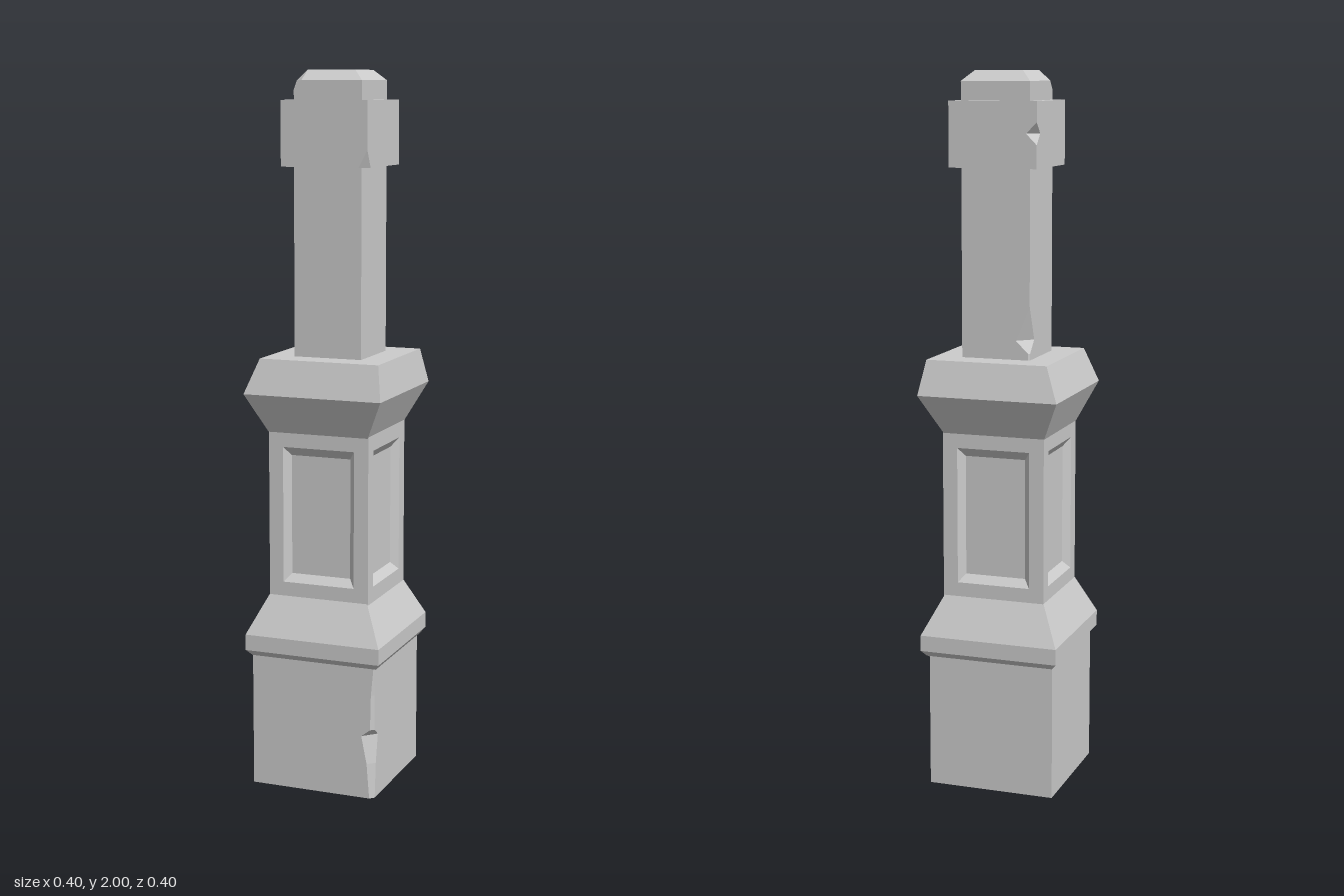
import * as THREE from 'three';

const material = new THREE.MeshStandardMaterial({ color: 0xcccccc, flatShading: true });

// Skin a list of equal-length point loops, skipping collapsed triangles
function skin(name, rings, capStart, capEnd) {
  const pos = [];
  const tri = (a, b, c) => {
    const n = b.clone().sub(a).cross(c.clone().sub(a));
    if (n.length() > 1e-9) for (const p of [a, b, c]) pos.push(p.x, p.y, p.z);
  };
  const count = rings[0].length;
  for (let r = 0; r < rings.length - 1; r++) {
    for (let i = 0; i < count; i++) {
      const j = (i + 1) % count, lo = rings[r], hi = rings[r + 1];
      tri(lo[i], lo[j], hi[j]);
      tri(lo[i], hi[j], hi[i]);
    }
  }
  const first = rings[0], last = rings[rings.length - 1];
  for (let i = 1; i < count - 1; i++) {
    if (capStart) tri(first[0], first[i + 1], first[i]);
    if (capEnd) tri(last[0], last[i], last[i + 1]);
  }
  const geometry = new THREE.BufferGeometry();
  geometry.setAttribute('position', new THREE.Float32BufferAttribute(pos, 3));
  geometry.computeVertexNormals();
  const mesh = new THREE.Mesh(geometry, material);
  mesh.name = name;
  return mesh;
}

// Rectangular level; one corner may be chipped by "cut"
// corners: 0 = +x+z, 1 = +x-z, 2 = -x-z, 3 = -x+z
function level(y, x0, x1, z0, z1, corner = 0, cut = 0) {
  const corners = [[x1, z1], [x1, z0], [x0, z0], [x0, z1]];
  const ring = [];
  corners.forEach(([x, z], i) => {
    const c = i === corner ? cut : 0;
    const alongX = new THREE.Vector3(x - Math.sign(x) * c, y, z);
    const alongZ = new THREE.Vector3(x, y, z - Math.sign(z) * c);
    ring.push(...(i % 2 ? [alongZ, alongX] : [alongX, alongZ]));
  });
  return ring;
}

// Upright rectangle facing +z
const frame = (hw, y0, y1, z) =>
  [[-hw, y0], [hw, y0], [hw, y1], [-hw, y1]].map(([x, y]) => new THREE.Vector3(x, y, z));

export function createModel() {
  const post = new THREE.Group();
  post.name = 'post';

  // Square foot with a chipped front corner
  const foot = [[0, 0.012], [0.1, 0.02], [0.18, 0.036], [0.2, 0.01], [0.3, 0.008], [0.385, 0]];
  post.add(skin('foot', foot.map(([y, cut]) => level(y, -0.185, 0.178, -0.182, 0.183, 0, cut)), true, true));

  // Lower moulding sloping in to the panelled shaft
  post.add(skin('lowerMoulding', [
    level(0.378, -0.185, 0.185, -0.185, 0.185),
    level(0.395, -0.2, 0.198, -0.2, 0.2),
    level(0.44, -0.2, 0.198, -0.2, 0.2),
    level(0.55, -0.148, 0.145, -0.147, 0.147),
  ], true, true));

  // Four sides with sunken panels
  for (let i = 0; i < 4; i++) {
    const side = skin('panelSide', [
      frame(0.147, 0.54, 1.03, 0.147),
      frame(0.105, 0.59, 0.975, 0.147),
      frame(0.087, 0.612, 0.95, 0.127),
    ], false, true);
    side.rotation.y = i * Math.PI / 2;
    post.add(side);
  }

  // Flared upper moulding
  post.add(skin('upperMoulding', [
    level(1.015, -0.148, 0.145, -0.147, 0.147),
    level(1.125, -0.2, 0.2, -0.203, 0.199),
    level(1.222, -0.163, 0.183, -0.175, 0.17),
  ], true, true));

  // Slim shaft, notched at the back corner
  const shaft = [[1.22, 0.004], [1.24, 0.004], [1.275, 0.04], [1.37, 0], [1.745, 0]];
  post.add(skin('slimShaft', shaft.map(([y, cut]) => level(y, -0.09, 0.106, -0.1, 0.096, 2, cut)), true, true));

  // Collar with chips on the front and back corners
  const collar = [[1.742, 0, 0.025], [1.79, 0, 0], [1.805, 2, 0], [1.835, 2, 0.03], [1.865, 2, 0], [1.92, 2, 0]];
  post.add(skin('collar', collar.map(([y, corner, cut]) => level(y, -0.118, 0.132, -0.128, 0.121, corner, cut)), true, true));

  // Bevelled cap
  post.add(skin('cap', [
    level(1.915, -0.09, 0.106, -0.101, 0.095),
    level(1.947, -0.09, 0.106, -0.101, 0.095, 3, 0),
    level(1.972, -0.09, 0.106, -0.101, 0.095, 3, 0.022),
    level(2, -0.061, 0.076, -0.073, 0.065, 3, 0),
  ], true, true));

  return post;
}
